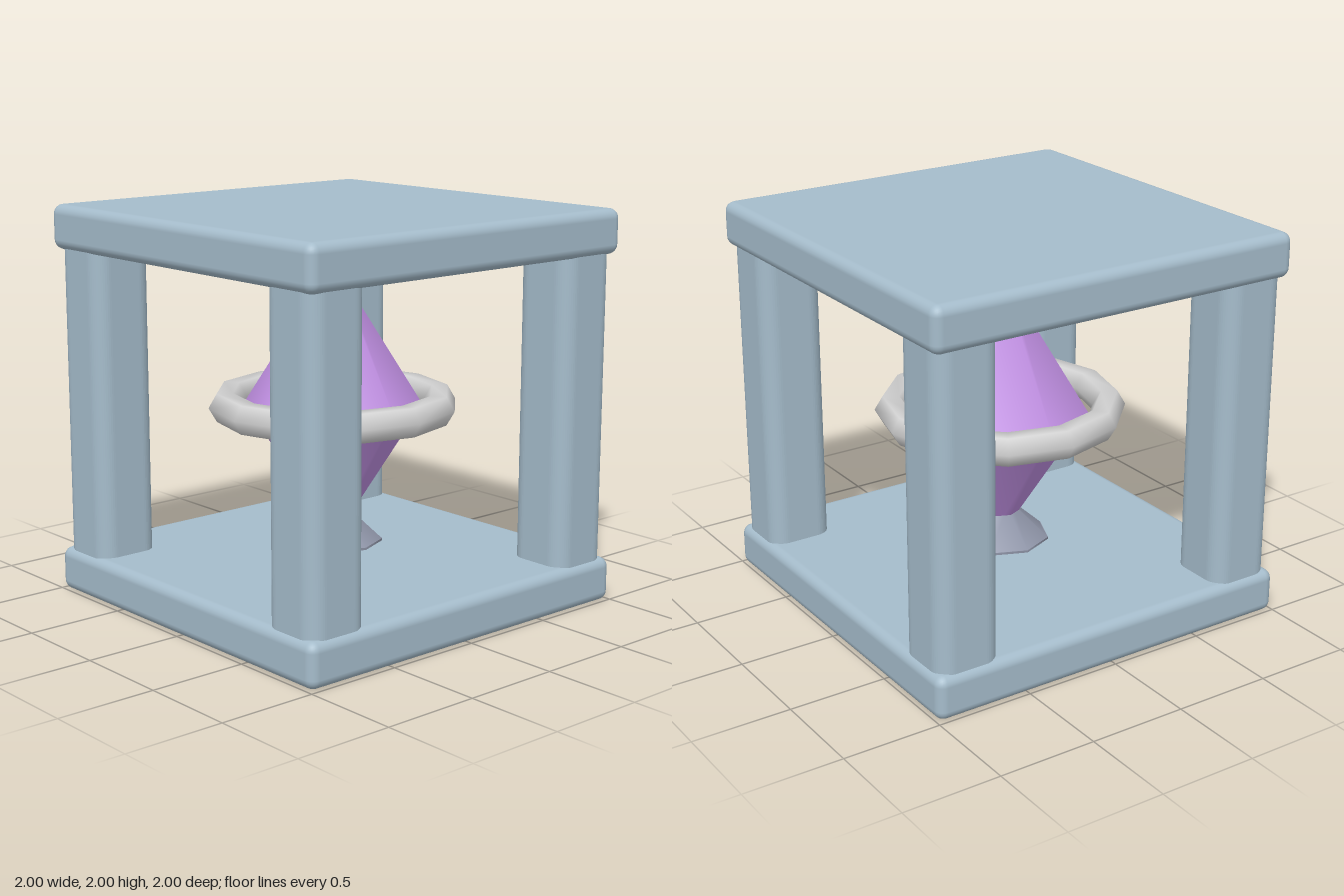
import * as THREE from 'three';
import { RoundedBoxGeometry } from 'three/addons/geometries/RoundedBoxGeometry.js';

const material = (name, color) => {
  const m = new THREE.MeshStandardMaterial({ color });
  m.name = name;
  return m;
};

export function createModel() {
  const model = new THREE.Group();
  const frameBlue = material('frameBlue', 0xa5bccb);
  const crystalPurple = material('crystalPurple', 0xc08fe2);
  const ringGrey = material('ringGrey', 0xd2d2d2);
  const mountGrey = material('mountGrey', 0x8f95a8);

  const add = (name, geometry, mat, x, y, z) => {
    const mesh = new THREE.Mesh(geometry, mat);
    mesh.name = name;
    mesh.position.set(x, y, z);
    model.add(mesh);
    return mesh;
  };

  // Base and roof slabs with softened edges
  const slab = new RoundedBoxGeometry(2, 0.226, 2, 3, 0.05);
  add('baseSlab', slab, frameBlue, 0, 0.113, 0);
  add('roofSlab', slab, frameBlue, 0, 1.887, 0);

  // Corner pillars: rounded squares, ends sunk into the slabs
  const h = 0.168, r = 0.085;
  const section = new THREE.Shape();
  section.absarc(h - r, h - r, r, 0, Math.PI / 2);
  section.absarc(r - h, h - r, r, Math.PI / 2, Math.PI);
  section.absarc(r - h, r - h, r, Math.PI, Math.PI * 1.5);
  section.absarc(h - r, r - h, r, Math.PI * 1.5, Math.PI * 2);
  const pillar = new THREE.ExtrudeGeometry(section, { depth: 1.66, bevelEnabled: false, curveSegments: 6 });
  pillar.rotateX(-Math.PI / 2);
  for (const x of [-1, 1]) {
    for (const z of [-1, 1]) {
      add(`${z > 0 ? 'front' : 'back'}${x > 0 ? 'Left' : 'Right'}Pillar`, pillar, frameBlue, x * 0.807, 0.17, z * 0.807);
    }
  }

  // Eight-sided crystal halves and the flared mounts at their tips
  for (const s of [1, -1]) {
    const side = s > 0 ? 'upper' : 'lower';
    const turn = s > 0 ? 0 : Math.PI;
    const half = new THREE.CylinderGeometry(0.05, 0.45, 0.64, 8);
    add(`${side}Crystal`, half, crystalPurple, 0, 1.005 + s * 0.32, 0).rotation.x = turn;

    const flare = new THREE.CylinderGeometry(0.25, 0.06, 0.175, 8);
    add(`${side}Mount`, flare, mountGrey, 0, 1.005 + s * 0.6175, 0).rotation.x = turn;

    const rim = new THREE.CylinderGeometry(0.25, 0.25, 0.012, 8);
    add(`${side}MountRim`, rim, mountGrey, 0, 1.005 + s * 0.709, 0);
  }

  // Floating ring around the waist
  const ring = new THREE.TorusGeometry(0.55, 0.083, 6, 12);
  ring.rotateX(Math.PI / 2);
  add('ring', ring, ringGrey, 0, 1.005, 0);

  return model;
}
